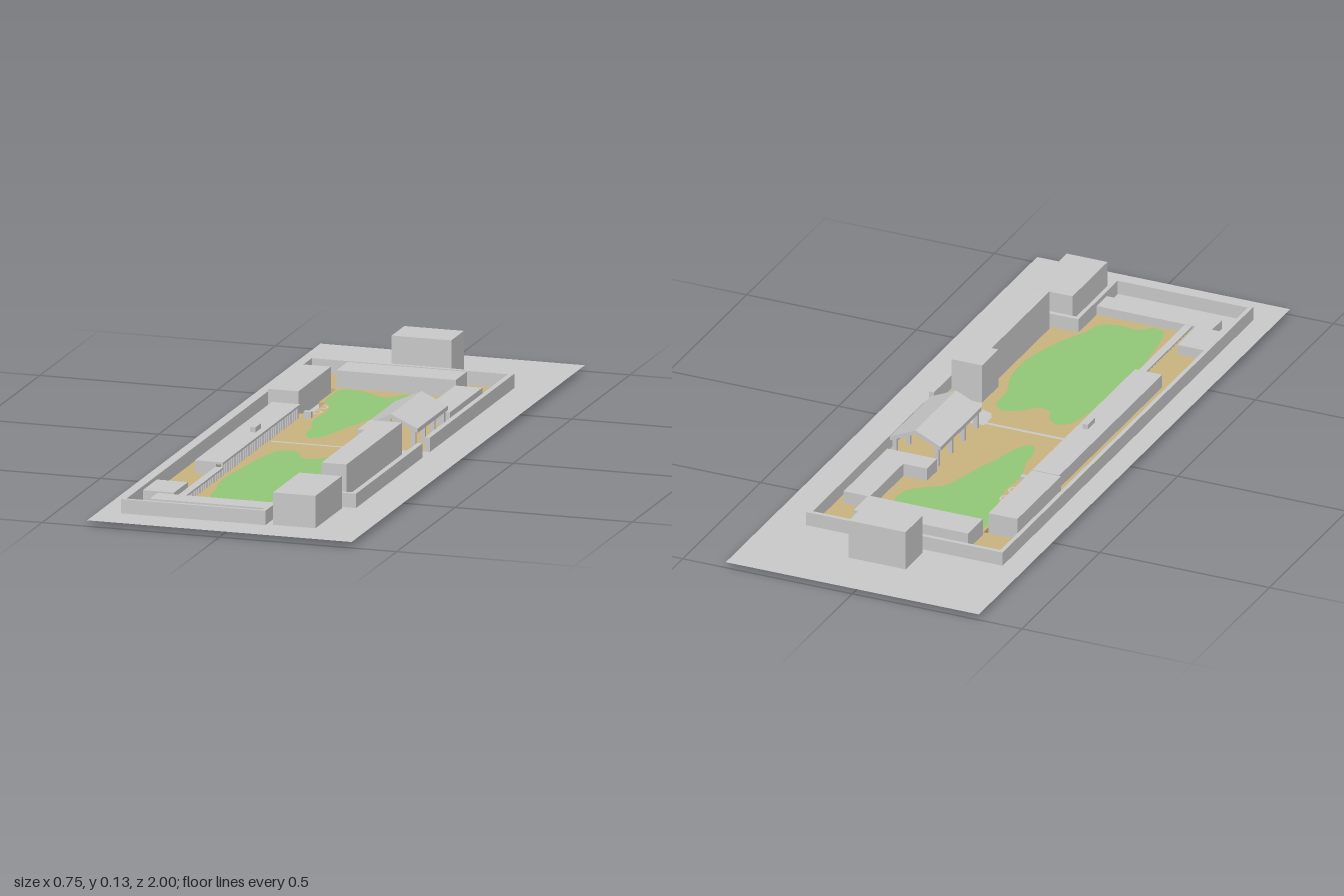
import * as THREE from 'three';
import { mergeGeometries } from 'three/addons/utils/BufferGeometryUtils.js';

const GROUND = 0.0165;

const flatColour = (name, color) => {
  const m = new THREE.MeshStandardMaterial({ color, side: THREE.DoubleSide });
  m.name = name;
  return m;
};

// Plan outlines are lists of [x, z]
const rect = (x0, z0, x1, z1) => [[x0, z0], [x1, z0], [x1, z1], [x0, z1]];
const toPlan = (pts) => pts.map(([x, z]) => new THREE.Vector2(x, -z));

// Flat surface at height y, optionally with holes
function plate(pts, y, holes = []) {
  const shape = new THREE.Shape(toPlan(pts));
  holes.forEach((h) => shape.holes.push(new THREE.Path(toPlan(h))));
  return new THREE.ShapeGeometry(shape).rotateX(-Math.PI / 2).translate(0, y, 0);
}

// Upright band following an outline
function skirt(pts, y0, y1, closed = true) {
  const pos = [];
  for (let i = 0; i < pts.length - (closed ? 0 : 1); i++) {
    const [ax, az] = pts[i], [bx, bz] = pts[(i + 1) % pts.length];
    pos.push(ax, y0, az, ax, y1, az, bx, y0, bz, bx, y0, bz, ax, y1, az, bx, y1, bz);
  }
  const g = new THREE.BufferGeometry();
  g.setAttribute('position', new THREE.Float32BufferAttribute(pos, 3));
  g.computeVertexNormals();
  return g;
}

// Block with sides and roof, open underneath
function block(pts, y1, y0 = GROUND) {
  const top = plate(pts, y1).toNonIndexed();
  top.deleteAttribute('uv');
  return mergeGeometries([skirt(pts, y0, y1), top]);
}

// Smooth closed lawn edge through a few points
function lawnEdge(pts) {
  const curve = new THREE.CatmullRomCurve3(pts.map(([x, z]) => new THREE.Vector3(x, 0, z)), true);
  return curve.getPoints(90).slice(0, -1).map((p) => [p.x, p.z]);
}

export function createModel() {
  const model = new THREE.Group();
  const grey = flatColour('stone grey', 0xcacaca);
  const sand = flatColour('sand', 0xcab580);
  const green = flatColour('lawn green', 0x92c877);

  const add = (name, geometry, material = grey, parent = model) => {
    const mesh = new THREE.Mesh(geometry, material);
    mesh.name = name;
    parent.add(mesh);
    return mesh;
  };
  const group = (name) => {
    const g = new THREE.Group();
    g.name = name;
    model.add(g);
    return g;
  };

  // Footprints
  const rearTower = rect(-0.083, -0.838, 0.085, -0.73);
  const frontTower = rect(0.115, 0.665, 0.235, 0.89);
  const rearHall = rect(-0.185, -0.66, 0.152, -0.565);
  const westHall = rect(-0.28, -0.55, -0.195, -0.27);
  const sunkenPlot = [[-0.28, -0.55], [-0.18, -0.55], [-0.18, -0.4], [-0.16, -0.4], [-0.16, -0.27], [-0.28, -0.27]];
  const longHall = rect(-0.255, -0.225, -0.195, 0.435);
  const eastHall = [[0.145, 0.15], [0.235, 0.15], [0.235, 0.625], [0.165, 0.625], [0.165, 0.255], [0.145, 0.255]];
  const rearEastHall = [[0.155, -0.55], [0.232, -0.55], [0.232, -0.27], [0.085, -0.27], [0.085, -0.335], [0.155, -0.335]];

  // Lawns
  const rearLawn = lawnEdge([[-0.165, -0.545], [-0.113, -0.552], [-0.076, -0.53], [-0.024, -0.503], [0.013, -0.545],
    [0.055, -0.552], [0.092, -0.52], [0.12, -0.46], [0.113, -0.413], [0.08, -0.376], [0.034, -0.344], [0.013, -0.29],
    [-0.008, -0.21], [-0.034, -0.13], [-0.055, -0.053], [-0.082, -0.027], [-0.103, -0.053], [-0.113, -0.13],
    [-0.134, -0.21], [-0.129, -0.29], [-0.14, -0.37], [-0.165, -0.41], [-0.172, -0.48]]);
  const frontLawn = lawnEdge([[-0.119, 0.132], [-0.087, 0.117], [-0.055, 0.143], [-0.04, 0.18], [-0.003, 0.185],
    [0.034, 0.148], [0.082, 0.132], [0.108, 0.16], [0.113, 0.24], [0.14, 0.32], [0.145, 0.42], [0.129, 0.5],
    [0.1, 0.585], [0.07, 0.645], [0.05, 0.705], [0, 0.72], [-0.055, 0.72], [-0.087, 0.746], [-0.119, 0.738],
    [-0.14, 0.66], [-0.15, 0.58], [-0.166, 0.477], [-0.156, 0.344], [-0.145, 0.24], [-0.134, 0.175]]);
  add('rearLawn', plate(rearLawn, GROUND), green);
  add('frontLawn', plate(frontLawn, GROUND), green);

  // Outer ground and sandy courtyard
  const precinct = [[-0.31, -0.71], [0.27, -0.71], [0.27, 0.65], [0.097, 0.65], [0.097, 0.9], [-0.31, 0.9]];
  add('outerGround', plate(rect(-0.373, -1, 0.373, 1), GROUND, [precinct, rearTower, frontTower]));
  const roadEdge = [[0.085, 0.03], [0.085, 0.08], [0.095, 0.102], [0.13, 0.115], [0.145, 0.148]];
  const courtyard = [[-0.298, -0.698], [0.255, -0.698], [0.255, 0.015], ...roadEdge, [0.255, 0.148], [0.255, 0.637],
    [0.085, 0.637], [0.085, 0.755], [-0.21, 0.755], [-0.21, 0.63], [-0.298, 0.63]];
  add('courtyard', plate(courtyard, GROUND,
    [rearHall, sunkenPlot, longHall, eastHall, rearEastHall, rearLawn, frontLawn]), sand);
  add('gateRoad', plate([[0.255, 0.015], [0.27, 0.015], [0.27, 0.08], [0.255, 0.08], [0.255, 0.148],
    ...roadEdge.slice().reverse()], GROUND));
  add('frontYard', plate([[-0.298, 0.63], [-0.21, 0.63], [-0.21, 0.755], [0.085, 0.755], [0.085, 0.89],
    [-0.298, 0.89]], GROUND));
  add('crossPath', plate(rect(-0.17, 0.036, 0.085, 0.047), GROUND + 0.001));

  // Boundary wall with a gate gap on the left side
  const wall = group('boundaryWall');
  [[-0.31, -0.71, 0.27, -0.698], [-0.31, -0.71, -0.298, 0.9], [0.255, -0.71, 0.27, 0.015], [0.255, 0.08, 0.27, 0.65],
    [0.085, 0.637, 0.27, 0.65], [0.085, 0.637, 0.097, 0.9], [-0.31, 0.89, 0.097, 0.9]]
    .forEach((r) => add('wallSection', block(rect(...r), 0.056), grey, wall));

  // Plain halls and towers
  add('rearTower', block(rearTower, 0.128));
  add('frontTower', block(frontTower, 0.106));
  add('eastHall', block(eastHall, 0.128));
  add('rearHall', block(rearHall, 0.064));
  add('rearEastHall', block(rearEastHall, 0.053));
  add('cornerHall', block(rect(-0.298, 0.63, -0.21, 0.75), 0.045));
  add('frontHall', block(rect(-0.255, 0.755, 0.085, 0.82), 0.042));
  add('smallHut', block(rect(-0.165, -0.24, -0.145, -0.225), 0.035));

  // Sunken hall with its lowered terrace and curved steps
  add('westHall', block(westHall, 0.077, 0));
  add('terraceFloor', plate([[-0.195, -0.55], ...sunkenPlot.slice(1, 5), [-0.195, -0.27]], 0.001));
  add('terraceSides', skirt([[-0.195, -0.55], ...sunkenPlot.slice(1, 5), [-0.195, -0.27]], 0, GROUND, false), sand);
  for (const z of [-0.345, -0.29]) {
    add('curvedStep', new THREE.RingGeometry(0.014, 0.02, 16, 1, -Math.PI / 2, Math.PI)
      .rotateX(-Math.PI / 2).translate(-0.155, GROUND + 0.002, z));
  }

  // Long hall with overhanging roof, chimney and colonnade
  add('longHall', block(longHall, 0.05));
  const slab = (x0, z0, x1, z1, y0, y1) => new THREE.BoxGeometry(x1 - x0, y1 - y0, z1 - z0)
    .translate((x0 + x1) / 2, (y0 + y1) / 2, (z0 + z1) / 2);
  add('longHallRoof', slab(-0.255, -0.225, -0.175, 0.435, 0.048, 0.054));
  add('chimney', block(rect(-0.21, 0.055, -0.194, 0.1), 0.068, 0.054));
  const colonnade = group('colonnade');
  add('colonnadeRoof', slab(-0.197, 0.435, -0.175, 0.755, 0.036, 0.041), grey, colonnade);
  for (let z = -0.215; z < 0.75; z += 0.02) {
    add('column', slab(-0.183, z, -0.177, z + 0.006, GROUND, z < 0.43 ? 0.048 : 0.036), grey, colonnade);
  }

  // Open pavilion: gabled roof on posts
  const pavilion = group('pavilion');
  const gable = new THREE.Shape([[0.085, 0.066], [0.16, 0.1], [0.235, 0.066], [0.235, 0.078], [0.16, 0.112], [0.085, 0.078]]
    .map(([x, y]) => new THREE.Vector2(x, y)));
  add('pavilionRoof', new THREE.ExtrudeGeometry(gable, { depth: 0.262, bevelEnabled: false }).translate(0, 0, -0.247),
    grey, pavilion);
  for (const x of [0.092, 0.216]) {
    for (const z of [-0.245, -0.16, -0.08, 0.003]) {
      add('pavilionPost', slab(x, z, x + 0.012, z + 0.01, GROUND, 0.075), grey, pavilion);
    }
  }
  return model;
}
